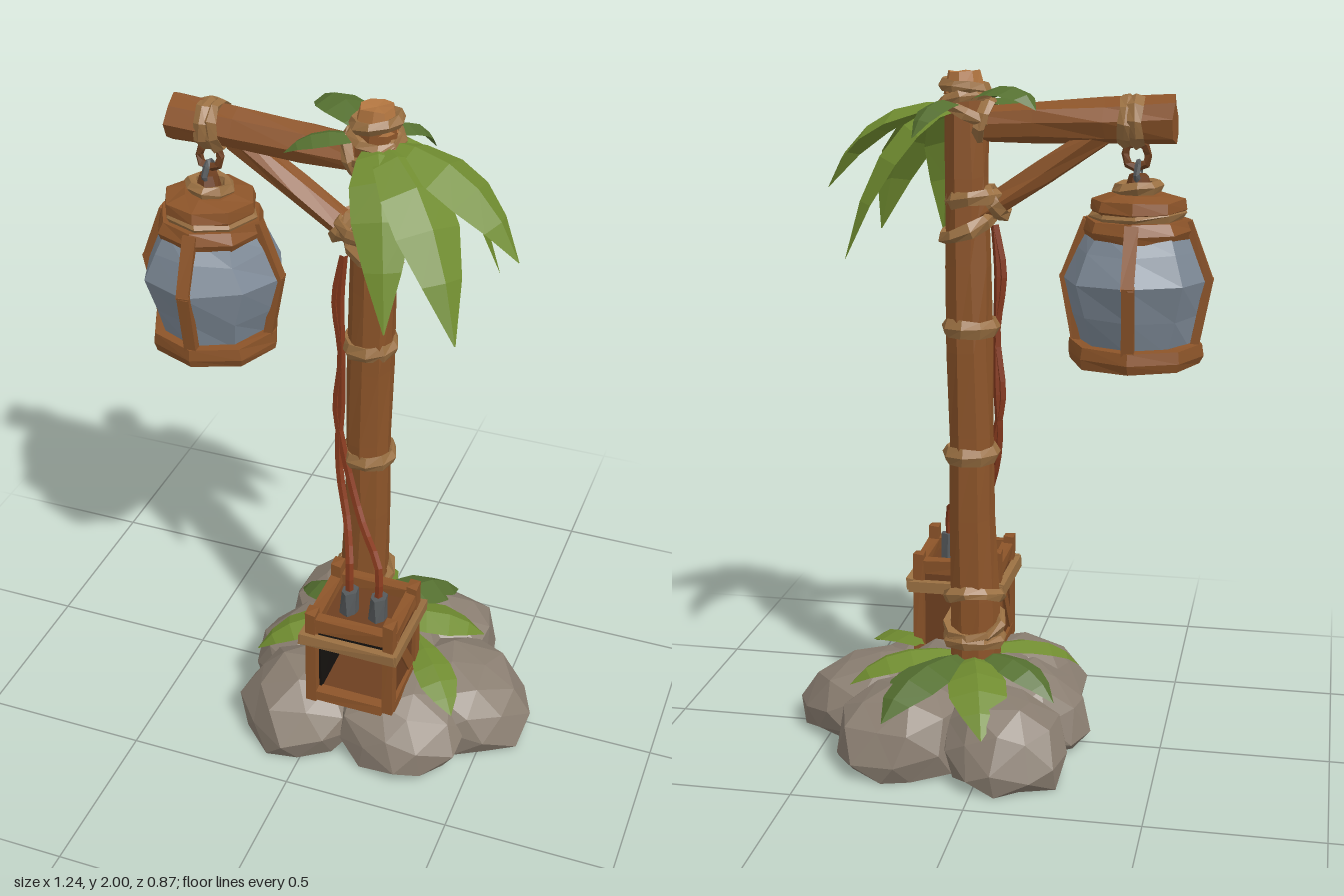
import * as THREE from 'three';

const mat = (color, side = THREE.FrontSide) =>
  new THREE.MeshStandardMaterial({ color, flatShading: true, side });
const V = (x, y, z) => new THREE.Vector3(x, y, z);

export function createModel() {
  const model = new THREE.Group();
  const wood = mat(0x8c5429), darkWood = mat(0x6d3f20), paleWood = mat(0xb0743f);
  const ropeMat = mat(0x9a7042), rockMat = mat(0x8a7e71), glassMat = mat(0x7d8996);
  const leafMat = mat(0x708c30, THREE.DoubleSide), darkLeaf = mat(0x557030, THREE.DoubleSide);
  const wireMat = mat(0x85391d), metal = mat(0x565a5c), black = mat(0x15120f);

  const add = (geo, material, name, parent = model) => {
    const m = new THREE.Mesh(geo, material);
    m.name = name;
    parent.add(m);
    return m;
  };
  const group = (name) => {
    const g = new THREE.Group();
    g.name = name;
    model.add(g);
    return g;
  };

  // Position-based wobble keeps coincident seam vertices together
  const hash = (x, y, z, k) => {
    const s = Math.sin(Math.round(x * 500) * 12.99 + Math.round(y * 500) * 78.23 + Math.round(z * 500) * 37.72 + k * 4.1) * 43758.5;
    return (s - Math.floor(s)) * 2 - 1;
  };
  const wobble = (geo, amount) => {
    const p = geo.attributes.position;
    for (let i = 0; i < p.count; i++) {
      const c = [p.getX(i), p.getY(i), p.getZ(i)];
      p.setXYZ(i, ...c.map((v, k) => v + amount * hash(...c, k)));
    }
    geo.computeVertexNormals();
    return geo;
  };
  const box = (w, h, d, x, y, z, material, name, parent) => {
    const m = add(wobble(new THREE.BoxGeometry(w, h, d), 0.003), material, name, parent);
    m.position.set(x, y, z);
    return m;
  };
  const log = (a, b, ra, rb, name, rows = 1, sides = 8, material = wood, parent = model) => {
    const d = b.clone().sub(a);
    const m = add(wobble(new THREE.CylinderGeometry(rb, ra, d.length(), sides, rows), 0.005), material, name, parent);
    m.position.copy(a).addScaledVector(d, 0.5);
    m.quaternion.setFromUnitVectors(V(0, 1, 0), d.normalize());
  };
  const ring = (center, radius, axis, tube, width, name, parent, material = ropeMat, sides = 9) => {
    const g = new THREE.TorusGeometry(radius, tube, 5, sides);
    g.scale(1, 1, width / tube);
    const m = add(wobble(g, 0.004), material, name, parent);
    m.position.copy(center);
    m.quaternion.setFromUnitVectors(V(0, 0, 1), axis.clone().normalize());
  };

  // Rock mound, tops leaning to the middle: [x, z, half width, height, half depth]
  const rocks = group('rocks');
  [[-0.085, -0.26, 0.195, 0.25, 0.185], [0.25, -0.235, 0.2, 0.25, 0.185], [0.43, 0.04, 0.2, 0.225, 0.21],
    [0.27, 0.225, 0.2, 0.235, 0.18], [-0.055, 0.25, 0.2, 0.235, 0.19], [-0.105, 0.01, 0.19, 0.235, 0.18],
    [0.1, 0, 0.26, 0.28, 0.24]].forEach(([x, z, w, h, d], n) => {
    const g = wobble(new THREE.IcosahedronGeometry(1, 1).rotateY(n * 1.3).rotateX(n * 0.4), 0.08);
    const p = g.attributes.position;
    for (let i = 0; i < p.count; i++) {
      const t = (Math.max(p.getY(i), -0.5) + 0.5) / 1.5;
      p.setXYZ(i, p.getX(i) * w + (0.1 - x) * 0.2 * t, t * h, p.getZ(i) * d - z * 0.2 * t);
    }
    g.computeVertexNormals();
    add(g, rockMat, 'rock', rocks).position.set(x, 0, z);
  });

  // Post, arm and brace
  log(V(0.062, 0.2, -0.013), V(0.085, 1.95, -0.01), 0.074, 0.062, 'post', 7, 9);
  log(V(0.088, 1.93, -0.01), V(0.09, 1.99, -0.01), 0.06, 0.045, 'postTop', 1, 8, paleWood);
  log(V(-0.5, 1.87, -0.015), V(0.08, 1.845, -0.01), 0.066, 0.048, 'arm', 3);
  log(V(-0.32, 1.84, -0.01), V(0.05, 1.592, -0.01), 0.037, 0.037, 'brace', 2, 6);

  // Rope lashings: [x, y, ring radius, axis x, axis y, axis z, half height]
  const ropes = group('ropeLashings');
  [[0.073, 0.895, 0.07, 0.02, 1, 0, 0.027], [0.073, 1.27, 0.07, 0, 1, 0.04, 0.027],
    [0.06, 1.64, 0.075, 0.15, 1, 0.1, 0.022], [0.08, 1.56, 0.078, 0.45, 1, -0.15, 0.02],
    [0.0, 1.63, 0.045, 1, -0.7, 0, 0.02],
    [0.087, 1.95, 0.062, -0.1, 1, 0, 0.018], [0.087, 1.91, 0.066, 0.2, 1, 0.2, 0.018],
    [0.08, 1.87, 0.072, -0.5, 1, 0.2, 0.018], [0.03, 1.855, 0.06, 1, 0.3, 0, 0.018],
    [0.065, 0.45, 0.082, 0.1, 1, 0.4, 0.02], [0.065, 0.37, 0.085, 0.1, 1, -0.4, 0.02],
    [0.065, 0.32, 0.085, 0, 1, 0.1, 0.02]]
    .forEach(([x, y, r, ax, ay, az, h]) => ring(V(x, y, -0.012), r, V(ax, ay, az), 0.015, h, 'rope', ropes));
  ring(V(-0.395, 1.865, -0.015), 0.064, V(1, 0, 0), 0.014, 0.022, 'hangerRope', ropes);
  ring(V(-0.365, 1.865, -0.015), 0.062, V(1, 0.1, 0), 0.014, 0.02, 'hangerRope', ropes);

  // Hanging lantern
  const lantern = group('lantern');
  lantern.position.set(-0.4, 0, -0.01);
  ring(V(0.005, 1.77, 0), 0.034, V(0, 0, 1), 0.011, 0.011, 'hook', lantern, darkWood, 8);
  ring(V(0, 1.72, 0), 0.03, V(1, 0, 0), 0.01, 0.01, 'hookLink', lantern, metal, 8);
  const lathe = (pts, material, name, rough) =>
    add(wobble(new THREE.LatheGeometry(pts.map(([r, y]) => new THREE.Vector2(r, y)), 8), rough), material, name, lantern);
  lathe([[0.15, 1.235], [0.178, 1.33], [0.205, 1.43], [0.17, 1.51], [0.135, 1.57]], glassMat, 'glass', 0.007);
  lathe([[0, 1.19], [0.183, 1.19], [0.192, 1.215], [0.187, 1.25], [0.155, 1.25], [0, 1.24]], wood, 'base', 0.003);
  lathe([[0.1, 1.54], [0.15, 1.54], [0.158, 1.565], [0.145, 1.595], [0.122, 1.595], [0.125, 1.615],
    [0.135, 1.62], [0.13, 1.65], [0.075, 1.665], [0, 1.665]], wood, 'lid', 0.003);
  ring(V(0, 1.607, 0), 0.122, V(0.05, 1, 0), 0.012, 0.014, 'lidRope', lantern, ropeMat, 8);
  ring(V(0, 1.68, 0), 0.055, V(0.1, 1, 0), 0.016, 0.02, 'capRope', lantern, ropeMat, 8);
  log(V(0, 1.66, 0), V(0, 1.715, 0), 0.045, 0.03, 'cap', 1, 7, darkWood, lantern);
  const ribPoints = [[0.163, 1.22], [0.203, 1.43], [0.143, 1.585]];
  for (let i = 0; i < 4; i++) {
    const rib = new THREE.Group();
    rib.name = 'rib';
    rib.rotation.y = i * Math.PI / 2;
    lantern.add(rib);
    for (let k = 0; k < 2; k++) {
      const [r0, y0] = ribPoints[k], [r1, y1] = ribPoints[k + 1];
      const m = box(0.024, Math.hypot(r1 - r0, y1 - y0) + 0.01, 0.036, (r0 + r1) / 2, (y0 + y1) / 2, 0, wood, 'ribBar', rib);
      m.rotation.z = Math.atan2(r0 - r1, y1 - y0);
    }
  }

  // Open-fronted crate
  const crate = group('crate');
  crate.position.set(0.14, 0, 0.212);
  for (const sx of [-1, 1]) {
    for (const sz of [-1, 1]) box(0.034, 0.33, 0.042, sx * 0.12, 0.378 + 0.01 * sx * sz, sz * 0.108, wood, 'cornerPost', crate);
    box(0.02, 0.27, 0.2, sx * 0.115, 0.36, 0, darkWood, 'sideWall', crate);
    box(0.006, 0.23, 0.2, sx * 0.101, 0.34, 0, black, 'sideLining', crate);
    for (const y of [0.23, 0.495]) box(0.034, 0.036, 0.2, sx * 0.118, y, 0, wood, 'sideRail', crate);
    box(0.02, 0.28, 0.032, sx * 0.122, 0.355, 0, wood, 'sidePlank', crate).rotation.x = 0.6 * sx;
  }
  for (const sz of [-1, 1])
    for (const y of [0.225, 0.495]) box(0.21, y < 0.3 ? 0.03 : 0.045, 0.034, 0, y, sz * 0.112, wood, 'crossRail', crate);
  box(0.2, 0.27, 0.02, 0, 0.36, -0.112, darkWood, 'backWall', crate);
  box(0.2, 0.23, 0.006, 0, 0.34, -0.098, black, 'backLining', crate);
  box(0.21, 0.02, 0.2, 0, 0.225, 0, darkWood, 'floor', crate);
  box(0.21, 0.012, 0.2, 0, 0.475, 0, darkWood, 'topBoard', crate);
  box(0.2, 0.008, 0.2, 0, 0.462, 0, black, 'topLining', crate);
  for (const s of [-1, 1]) {
    box(0.29, 0.036, 0.02, 0, 0.44 + 0.004 * s, s * 0.135, ropeMat, 'crateRope', crate);
    box(0.02, 0.036, 0.28, s * 0.142, 0.44, 0, ropeMat, 'crateRope', crate);
  }

  // Terminals and wires climbing the post
  const wiring = group('wiring');
  [[0.1, 0.04], [0.19, 0.01]].forEach(([x, off]) => {
    log(V(x, 0.48, 0.225), V(x, 0.562, 0.225), 0.03, 0.028, 'terminal', 1, 6, metal, wiring);
    const path = new THREE.CatmullRomCurve3([V(x, 0.55, 0.225), V(x - 0.005, 0.65, 0.21), V(0.07 + x * 0.2 - off, 0.72, 0.11),
      V(0.05 - off, 0.84, 0.06), V(0.01 - off * 0.3, 0.95, 0.04), V(-0.018 + off * 0.5, 1.06, 0.03), V(0.005, 1.24, 0.035),
      V(-0.02 + off * 0.5, 1.42, 0.03), V(0.01, 1.56, 0.03)]);
    add(new THREE.TubeGeometry(path, 22, 0.012, 5), wireMat, 'wire', wiring);
  });

  // Folded leaf blade that reaches out, then droops to its tip
  const leaf = (base, tip, lift, width, material, name, parent) => {
    const mid = base.clone().lerp(tip, 0.72).setY(base.y + lift);
    const curve = new THREE.QuadraticBezierCurve3(base, mid, tip);
    const side = V(tip.z - base.z, 0, base.x - tip.x).normalize();
    const widths = [0.25, 0.72, 1, 0.98, 0.62, 0.02];
    const pos = [], index = [];
    widths.forEach((w, i) => {
      const t = i / (widths.length - 1), c = curve.getPoint(t);
      const up = curve.getTangent(t).cross(side).normalize();
      for (const s of [-1, 0, 1])
        pos.push(...c.clone().addScaledVector(side, s * w * width).addScaledVector(up, s ? -0.35 * w * width : 0).toArray());
      if (i) for (const k of [0, 1]) {
        const a = i * 3 - 3 + k;
        index.push(a, a + 1, a + 3, a + 1, a + 4, a + 3);
      }
    });
    const g = new THREE.BufferGeometry();
    g.setAttribute('position', new THREE.Float32BufferAttribute(pos, 3));
    g.setIndex(index);
    g.computeVertexNormals();
    add(g, material, name, parent);
  };

  // Crown leaves: [tip x, y, z, lift, half width]
  const crown = group('crownLeaves');
  [[0.4, 1.48, -0.16, 0.03, 0.09], [0.51, 1.65, 0.07, 0.04, 0.1], [0.41, 1.5, 0.29, 0.04, 0.095],
    [0.22, 1.5, 0.3, 0.04, 0.08], [-0.14, 1.9, -0.17, 0.12, 0.065], [-0.14, 1.86, 0.08, 0.05, 0.05],
    [0.2, 1.82, -0.18, 0.06, 0.05]]
    .forEach(([x, y, z, l, w], i) => leaf(V(0.085, 1.9, -0.01), V(x, y, z), l, w, i < 4 ? leafMat : darkLeaf, 'crownLeaf', crown));

  // Leaves around the foot of the post
  const foot = group('footLeaves');
  [[-0.23, 0.18, 0.16, 0.06, 0.06], [-0.2, 0.19, -0.16, 0.06, 0.065], [-0.03, 0.16, -0.39, 0.07, 0.085],
    [0.27, 0.17, -0.35, 0.07, 0.085], [0.42, 0.19, -0.14, 0.06, 0.075]]
    .forEach(([x, y, z, l, w], i) => leaf(V(0.07, 0.27, -0.01), V(x, y, z), l, w, i % 2 ? darkLeaf : leafMat, 'footLeaf', foot));
  leaf(V(0.24, 0.27, 0.02), V(0.43, 0.18, 0.24), 0.02, 0.06, leafMat, 'footLeaf', foot);

  return model;
}
